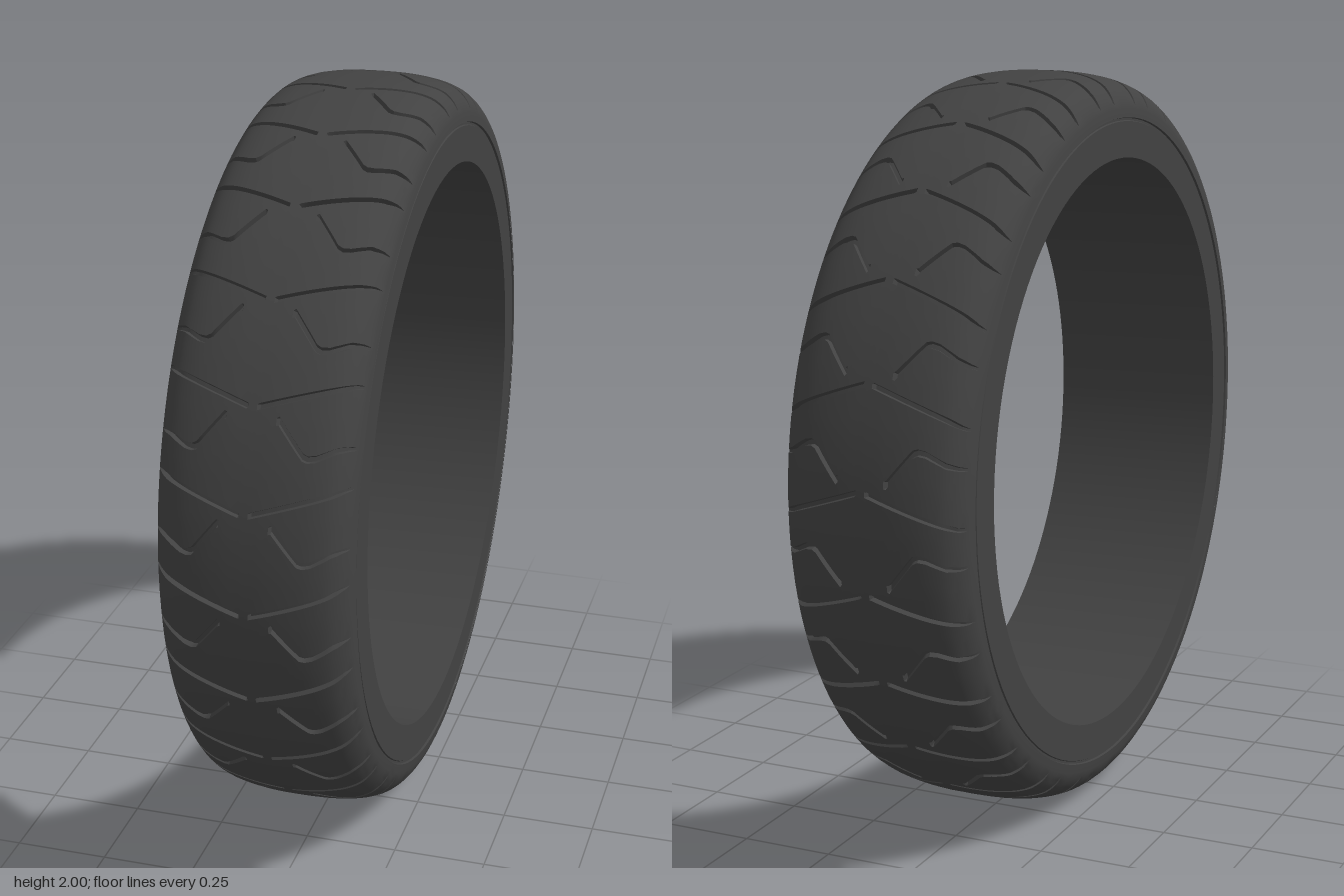
import * as THREE from 'three';
import { toCreasedNormals } from 'three/addons/utils/BufferGeometryUtils.js';

const PITCHES = 24;
const STEP = (Math.PI * 2) / PITCHES;
const DEG = Math.PI / 180;
const DEPTH = 0.014;

// Half of the tread cross-section, from crown to shoulder: [x, radius]
const CROWN = [[0, 1], [0.06, 0.999], [0.12, 0.993], [0.17, 0.982], [0.207, 0.965],
  [0.232, 0.94], [0.245, 0.915], [0.25, 0.885]];

// Groove paths: [distance from the crown, angle in degrees]
const CHEVRON = [[0, 0], [0.12, 2.3], [0.25, 4.8], [0.31, 5.4]];
const HOOK = [[0, -4], [0.05, -2.2], [0.066, -1.2], [0.132, -5.9], [0.145, -6.2], [0.165, -6],
  [0.215, -4.6], [0.25, -4.2], [0.31, -4]];
// Groove depth along each path, 0 to 1
const CHEVRON_DEPTH = [[0, 0], [0.011, 0], [0.016, 1], [0.23, 1], [0.275, 0], [0.31, 0]];
const HOOK_DEPTH = [[0, 0], [0.062, 0], [0.068, 1], [0.23, 1], [0.275, 0], [0.31, 0]];
// Half-widths in radians; the slanted leg of the hook is widened
const CHEVRON_WIDTH = [[0, 0.008], [0.22, 0.008], [0.28, 0.004]];
const HOOK_WIDTH = [[0, 0.011], [0.125, 0.011], [0.145, 0.009], [0.22, 0.008], [0.28, 0.004]];

// Straight interpolation through a list of [position, value]
function sample(points, s) {
  for (let i = 1; i < points.length; i++) {
    const [a, va] = points[i - 1], [b, vb] = points[i];
    if (s <= b) return va + ((vb - va) * (s - a)) / (b - a);
  }
  return points[points.length - 1][1];
}

// Columns across the tread, finer where the grooves start and bend
function treadColumns() {
  const curve = new THREE.CatmullRomCurve3(CROWN.map(([x, r]) => new THREE.Vector3(x, r, 0)));
  const length = curve.getLength();
  const stops = [0, 0.011, 0.016, 0.033, 0.05, 0.062, 0.068, 0.085, 0.1, 0.117, 0.132, 0.138, 0.145,
    0.155, 0.165, 0.178, 0.19, 0.203, 0.215, 0.23, 0.24, 0.25, 0.262, 0.275, 0.286, length];
  const half = stops.map((s) => {
    const u = Math.min(1, s / length);
    const p = curve.getPointAt(u), t = curve.getTangentAt(u);
    return { s, x: p.x, r: p.y, nx: -t.y, nr: t.x };
  });
  const mirrored = half.slice(1).reverse().map((c) => ({ ...c, x: -c.x, nx: -c.nx }));
  return [...mirrored, ...half];
}

// Angles and depths of all rows of one pitch, at distance s from the crown
function pitchRows(s) {
  const groove = (path, width, depth) => {
    const mid = sample(path, s) * DEG, w = sample(width, s), d = sample(depth, s) * DEPTH;
    return [[mid + w, 0], [mid + w * 0.65, d], [mid - w * 0.65, d], [mid - w, 0]];
  };
  const a = groove(CHEVRON, CHEVRON_WIDTH, CHEVRON_DEPTH);
  const b = groove(HOOK, HOOK_WIDTH, HOOK_DEPTH);
  const between = (from, to) => [1 / 3, 2 / 3].map((k) => [from + (to - from) * k, 0]);
  return [...a, ...between(a[3][0], b[0][0]), ...b, ...between(b[3][0], a[0][0] - STEP)];
}

// Tread grid whose rows follow the groove edges
function treadGeometry() {
  const columns = treadColumns();
  const rows = columns.map((c) => pitchRows(c.s));
  const perPitch = rows[0].length, total = perPitch * PITCHES, n = columns.length;
  const positions = [], indices = [];
  for (let i = 0; i < total; i++) {
    const turn = -3.75 * DEG - Math.floor(i / perPitch) * STEP;
    columns.forEach((c, j) => {
      const [angle, depth] = rows[j][i % perPitch];
      const r = c.r - c.nr * depth, phi = turn + angle;
      positions.push(c.x - c.nx * depth, r * Math.sin(phi), r * Math.cos(phi));
    });
  }
  for (let i = 0; i < total; i++) {
    for (let j = 0; j < n - 1; j++) {
      const a = i * n + j, c = ((i + 1) % total) * n + j;
      indices.push(a, c, a + 1, a + 1, c, c + 1);
    }
  }
  const geometry = new THREE.BufferGeometry();
  geometry.setAttribute('position', new THREE.Float32BufferAttribute(positions, 3));
  geometry.setIndex(indices);
  return toCreasedNormals(geometry, 0.5);
}

// Sidewalls with a small step under the shoulder, and the inner band
function carcassGeometry() {
  const side = [[0.888, 0.249], [0.882, 0.25], [0.88, 0.244], [0.874, 0.244], [0.872, 0.248], [0.775, 0.248]];
  const outline = [...side, ...side.slice().reverse().map(([r, x]) => [r, -x])];
  const geometry = new THREE.LatheGeometry(outline.map(([r, x]) => new THREE.Vector2(r, x)), 120);
  geometry.rotateZ(-Math.PI / 2);
  return toCreasedNormals(geometry, 0.5);
}

export function createModel() {
  const rubber = new THREE.MeshStandardMaterial({ color: 0x424242 });
  rubber.name = 'dark rubber';

  const tyre = new THREE.Group();
  tyre.name = 'tyre';
  const addPart = (name, geometry) => {
    const mesh = new THREE.Mesh(geometry, rubber);
    mesh.name = name;
    mesh.position.y = 1;
    tyre.add(mesh);
  };
  addPart('groovedTread', treadGeometry());
  addPart('sidewallsAndInnerBand', carcassGeometry());
  return tyre;
}
